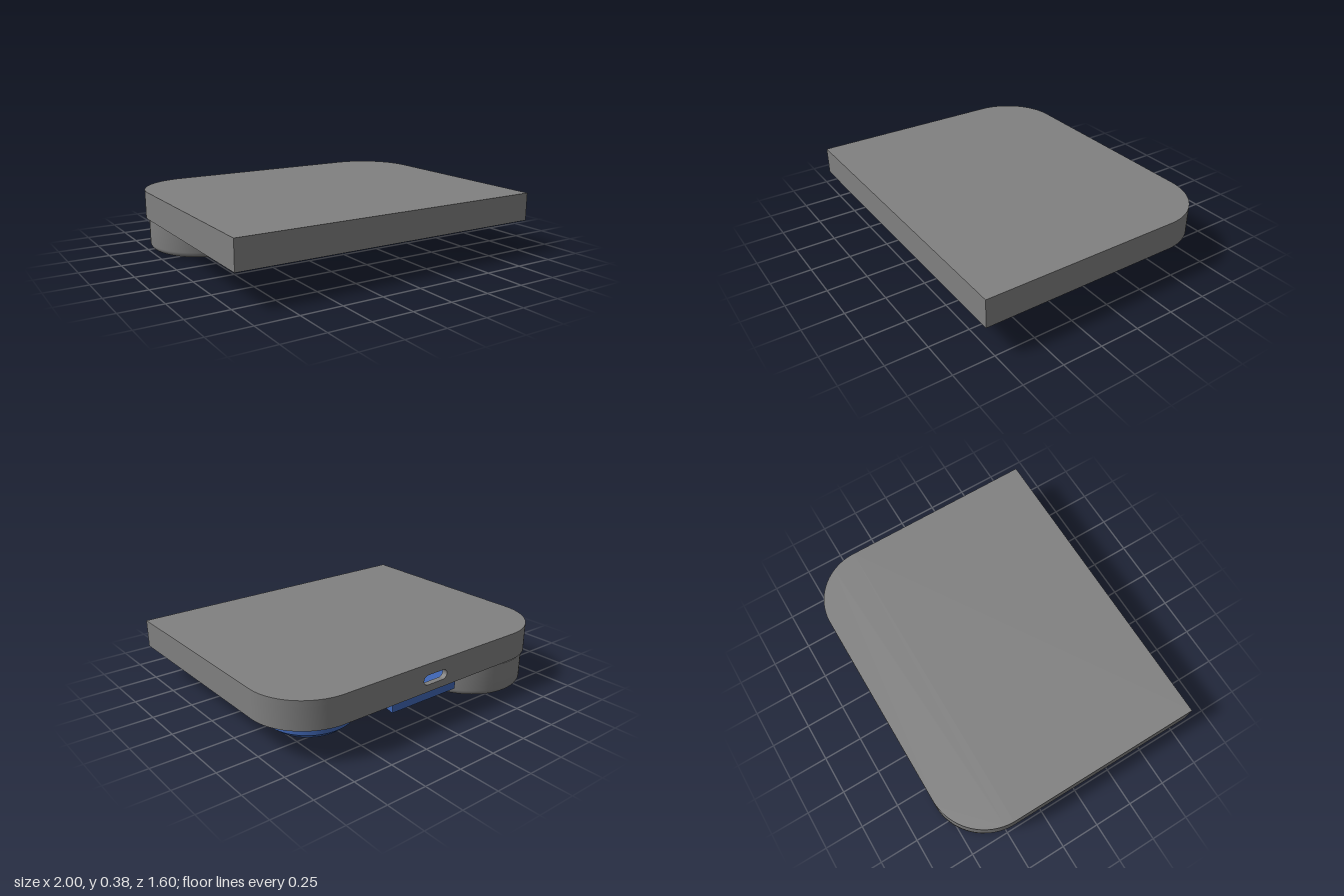
import * as THREE from 'three';
import { toCreasedNormals } from 'three/addons/utils/BufferGeometryUtils.js';

export function createModel() {
  const model = new THREE.Group();
  const grey = new THREE.MeshStandardMaterial({ name: 'case grey', color: 0x808080 });
  const blue = new THREE.MeshStandardMaterial({ name: 'plate blue', color: 0x4067b5 });

  const add = (name, geo, mat, x = 0, y = 0, z = 0) => {
    const mesh = new THREE.Mesh(toCreasedNormals(geo, 0.5), mat);
    mesh.name = name;
    mesh.position.set(x, y, z);
    model.add(mesh);
    return mesh;
  };
  // Extrudes a plan drawn in (x, z) between two heights
  const slab = (shape, y0, y1) =>
    new THREE.ExtrudeGeometry(shape, { depth: y1 - y0, bevelEnabled: false, curveSegments: 20 })
      .rotateX(Math.PI / 2).translate(0, y1, 0);
  // Extrudes a side profile drawn in (z, y) across x
  const across = (points, width, cx = 0) =>
    new THREE.ExtrudeGeometry(new THREE.Shape(points.map(p => new THREE.Vector2(...p))),
      { depth: width, bevelEnabled: false })
      .rotateY(-Math.PI / 2).translate(cx + width / 2, 0, 0);

  // Outline with two round back corners, inset by i
  const outline = i => {
    const s = new THREE.Shape();
    const w = 1 - i, f = 0.8 - i, r = 0.35 - i, cx = 0.65, cz = -0.45;
    s.moveTo(-w, f);
    s.lineTo(w, f);
    s.lineTo(w, cz);
    s.absarc(cx, cz, r, 0, -Math.PI / 2, true);
    s.lineTo(-cx, -f);
    s.absarc(-cx, cz, r, -Math.PI / 2, -Math.PI, true);
    s.closePath();
    return s;
  };
  const square = (x, z, a) => {
    const h = a / 2;
    return new THREE.Path([[-h, -h], [h, -h], [h, h], [-h, h]]
      .map(([u, v]) => new THREE.Vector2(x + u, z + v)));
  };

  // Case: roof and walls, with a gap at the back for the port panel
  const wall = 0.035, gap = 0.2;
  add('caseRoof', slab(outline(0), 0.345, 0.38), grey);
  const walls = new THREE.Shape();
  walls.moveTo(gap, -0.8);
  walls.lineTo(0.65, -0.8);
  walls.absarc(0.65, -0.45, 0.35, -Math.PI / 2, 0, false);
  walls.lineTo(1, 0.8);
  walls.lineTo(-1, 0.8);
  walls.lineTo(-1, -0.45);
  walls.absarc(-0.65, -0.45, 0.35, Math.PI, Math.PI * 1.5, false);
  walls.lineTo(-gap, -0.8);
  walls.lineTo(-gap, -0.8 + wall);
  walls.lineTo(-0.65, -0.8 + wall);
  walls.absarc(-0.65, -0.45, 0.35 - wall, Math.PI * 1.5, Math.PI, true);
  walls.lineTo(-1 + wall, 0.8 - wall);
  walls.lineTo(1 - wall, 0.8 - wall);
  walls.lineTo(1 - wall, -0.45);
  walls.absarc(0.65, -0.45, 0.35 - wall, 0, -Math.PI / 2, true);
  walls.lineTo(gap, -0.8 + wall);
  walls.closePath();
  add('caseWalls', slab(walls, 0.205, 0.345), grey);

  // Back panel with a rounded port slot
  const panel = new THREE.Shape([[-gap, 0.205], [gap, 0.205], [gap, 0.345], [-gap, 0.345]]
    .map(p => new THREE.Vector2(...p)));
  const slot = new THREE.Path();
  slot.absarc(0.06, 0.28, 0.03, -Math.PI / 2, Math.PI / 2, false);
  slot.absarc(-0.06, 0.28, 0.03, Math.PI / 2, Math.PI * 1.5, false);
  slot.closePath();
  panel.holes.push(slot);
  add('portPanel', new THREE.ExtrudeGeometry(panel, { depth: wall, bevelEnabled: false }),
    grey, 0, 0, -0.8);

  // Key plate: two rows of square cutouts, encoder cutout and screw holes
  const plate = outline(0.012);
  for (const z of [0.17, 0.57])
    for (let i = -2; i <= 2; i++) plate.holes.push(square(i * 0.4, z, 0.275));
  plate.holes.push(square(0.63, -0.45, 0.26));
  const screws = [[0, -0.085], [0, 0.365], [0.6, 0.365], [-0.6, 0.365], [0.447, -0.72], [-0.447, -0.72]];
  for (const [x, z] of screws)
    plate.holes.push(new THREE.Path().absarc(x, z, 0.025, 0, Math.PI * 2, false));
  add('keyPlate', slab(plate, 0.199, 0.232), blue);

  // Standoffs between roof and plate
  for (const [x, z] of screws)
    add('standoff', new THREE.CylinderGeometry(0.043, 0.043, 0.11, 24), grey, x, 0.29, z);

  // Solid knob with a rounded lower edge
  const knob = [new THREE.Vector2(0, 0)];
  for (let i = 0; i <= 6; i++) {
    const a = (i / 6) * Math.PI / 2;
    knob.push(new THREE.Vector2(0.315 + 0.035 * Math.sin(a), 0.035 - 0.035 * Math.cos(a)));
  }
  knob.push(new THREE.Vector2(0.35, 0.2), new THREE.Vector2(0, 0.2));
  add('knob', new THREE.LatheGeometry(knob, 64), grey, -0.63, 0, -0.45);

  // Open encoder collar with a chamfered lip
  const collar = [[0.19, 0.085], [0.215, 0.085], [0.257, 0.12], [0.257, 0.2], [0.19, 0.2], [0.19, 0.085]]
    .map(p => new THREE.Vector2(...p));
  add('encoderCollar', new THREE.LatheGeometry(collar, 64), blue, 0.63, 0, -0.45);

  // Sloping display housing: back bar, front ramp and two cheeks round a window
  const slope = z => 0.102 + (z + 0.72) * 0.098 / 0.54;
  const wedge = (z0, z1) => [[z0, 0.2], [z0, slope(z0)], [z1, slope(z1)], [z1, 0.2]];
  add('displayBackBar', across(wedge(-0.72, -0.64), 0.5), blue);
  add('displayRamp', across(wedge(-0.42, -0.18), 0.5), blue);
  for (const s of [-1, 1])
    add('displayCheek', across(wedge(-0.64, -0.42), 0.015, s * 0.2425), blue);

  return model;
}
